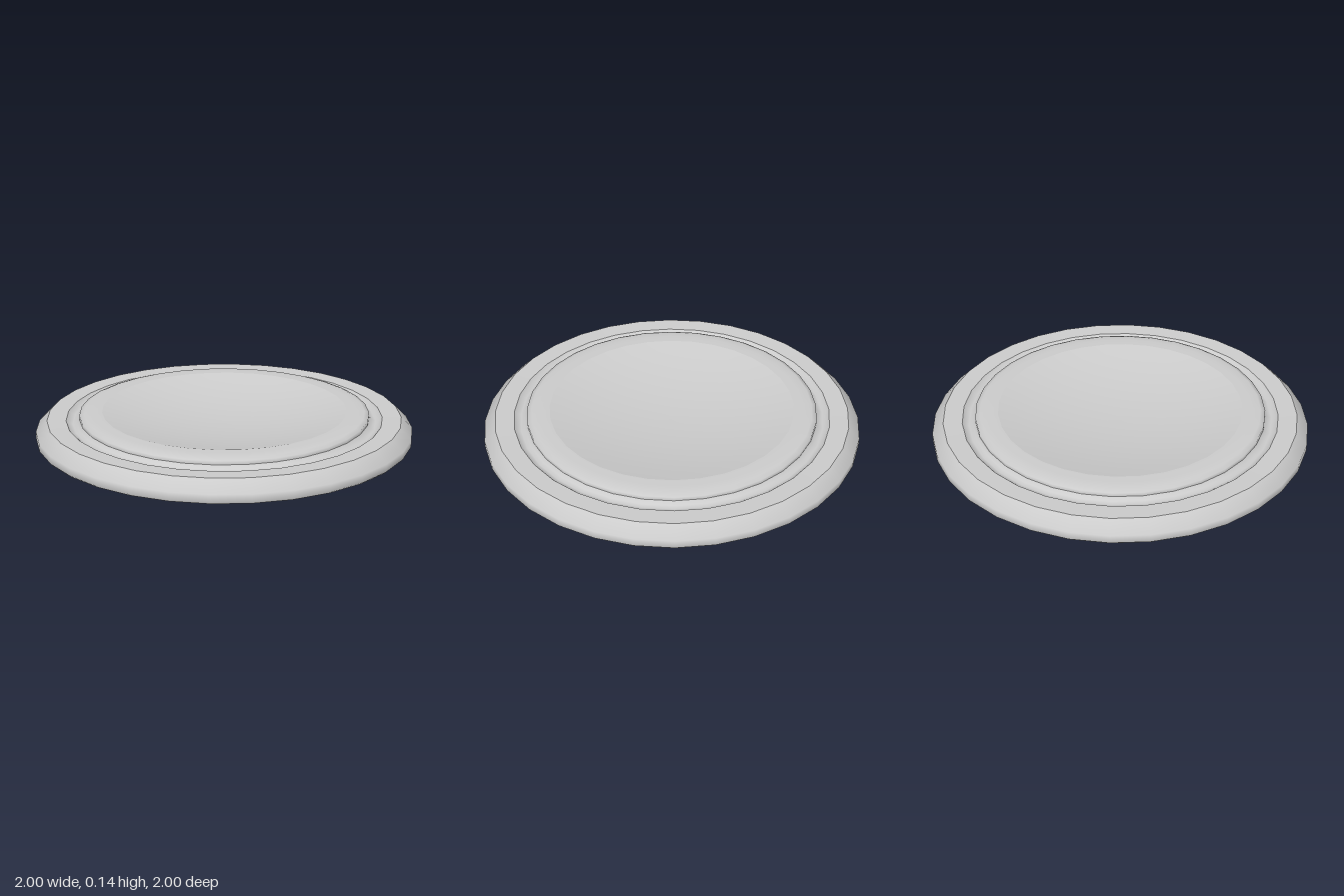
import * as THREE from 'three';

const SIDES = 32;

// Turned ring or disc; each profile runs bottom centre -> rim -> top centre so faces point outward
function turned(name, profile, material) {
  const points = profile.map(([r, y]) => new THREE.Vector2(r, y));
  const mesh = new THREE.Mesh(new THREE.LatheGeometry(points, SIDES), material);
  mesh.name = name;
  return mesh;
}

export function createModel() {
  const group = new THREE.Group();
  group.name = 'plate';
  const grey = new THREE.MeshStandardMaterial({ color: 0xcccccc });
  grey.name = 'light grey';

  // Shallow bowl from the crest of the inner lip down to the centre
  const bowl = [];
  const crest = 0.65, depth = 0.075, steps = 8;
  for (let i = 0; i <= steps; i++) {
    const t = 1 - i / steps;
    bowl.push([crest * t, 0.14 - depth * (1 - t * t)]);
  }

  group.add(
    turned('base', [[0, 0], [0.99, 0]], grey),
    // Outer side, rounded under and bevelled above
    turned('outerRim', [[0.99, 0], [1, 0.01], [1, 0.05], [0.94, 0.108]], grey),
    turned('rimTop', [[0.94, 0.108], [0.84, 0.104]], grey),
    // Groove between rim and raised centre
    turned('groove', [[0.84, 0.104], [0.825, 0.09], [0.805, 0.084], [0.785, 0.09], [0.77, 0.108]], grey),
    // Rounded lip around the bowl
    turned('innerLip', [[0.77, 0.108], [0.77, 0.128], [0.745, 0.137], [0.7, 0.14], [crest, 0.14]], grey),
    turned('bowl', bowl, grey),
  );
  return group;
}
